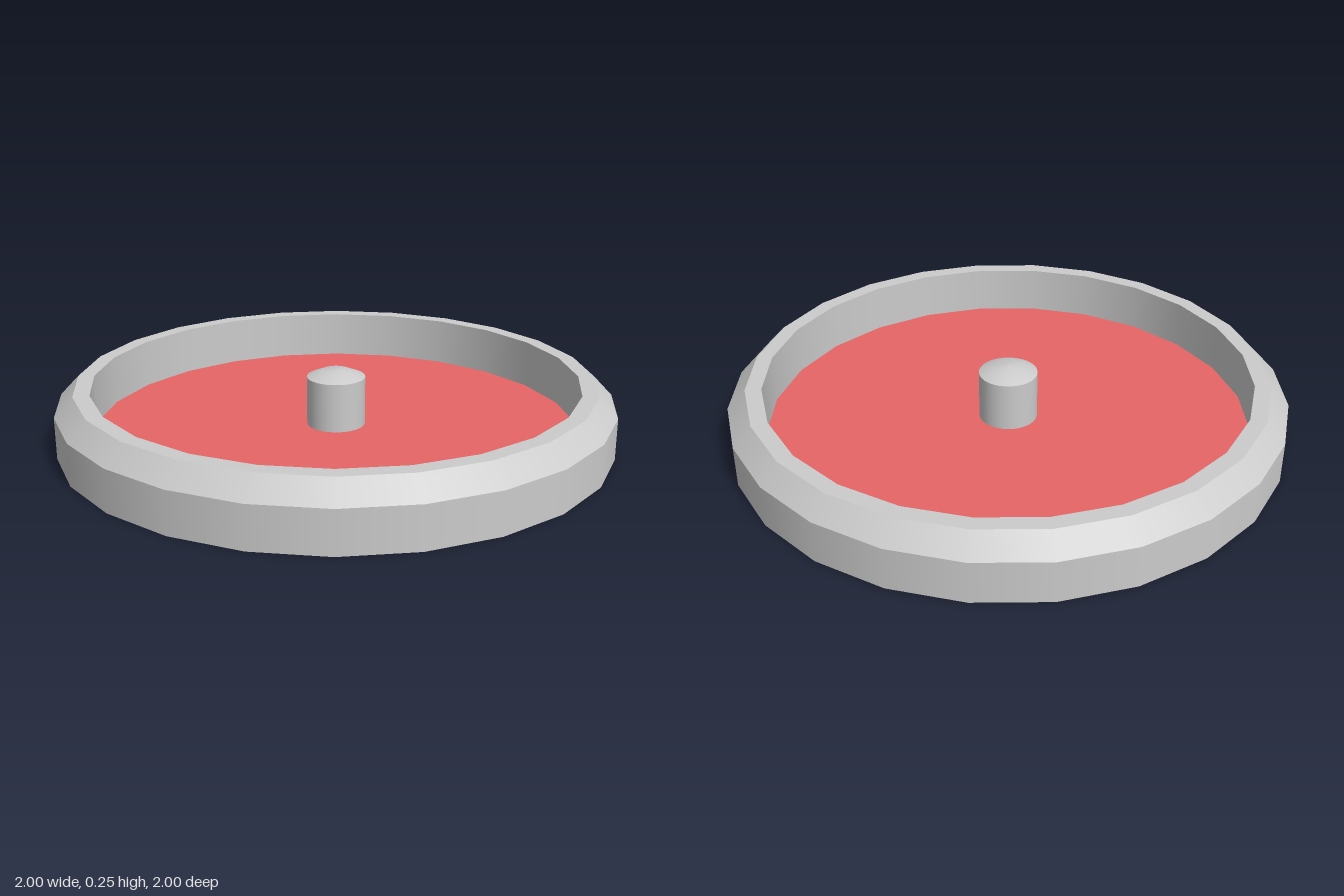
import * as THREE from 'three';
import { mergeGeometries } from 'three/addons/utils/BufferGeometryUtils.js';

const RIM_SIDES = 24;
const PEG_SIDES = 32;
const FLOOR_Y = 0.042;
const RIM_TOP = 0.22;
const INNER_R = 0.875;

const grey = new THREE.MeshStandardMaterial({ color: 0xcccccc });
const red = new THREE.MeshStandardMaterial({ color: 0xe66565 });

// Each band is its own lathe: smooth around the axis, sharp between bands
function latheBands(bands, sides) {
  return mergeGeometries(bands.map((band) =>
    new THREE.LatheGeometry(band.map(([r, y]) => new THREE.Vector2(r, y)), sides)));
}

function addPart(group, name, geometry, material) {
  const mesh = new THREE.Mesh(geometry, material);
  mesh.name = name;
  group.add(mesh);
}

export function createModel() {
  const model = new THREE.Group();
  model.name = 'roundTray';

  // Tray shell: underside, outer wall, bevel, rim top and inner wall
  const profile = [[0, 0], [1, 0], [1, 0.15], [0.933, RIM_TOP], [INNER_R, RIM_TOP], [INNER_R, FLOOR_Y]];
  const bands = profile.slice(1).map((point, i) => [profile[i], point]);
  addPart(model, 'trayShell', latheBands(bands, RIM_SIDES), grey);

  // Coloured floor inside the rim
  addPart(model, 'trayFloor', latheBands([[[INNER_R, FLOOR_Y], [0, FLOOR_Y]]], RIM_SIDES), red);

  // Centre peg with a shallow domed cap
  addPart(model, 'centrePeg', latheBands([
    [[0.106, FLOOR_Y], [0.106, RIM_TOP]],
    [[0.106, RIM_TOP], [0.052, 0.243], [0, 0.247]],
  ], PEG_SIDES), grey);

  return model;
}
